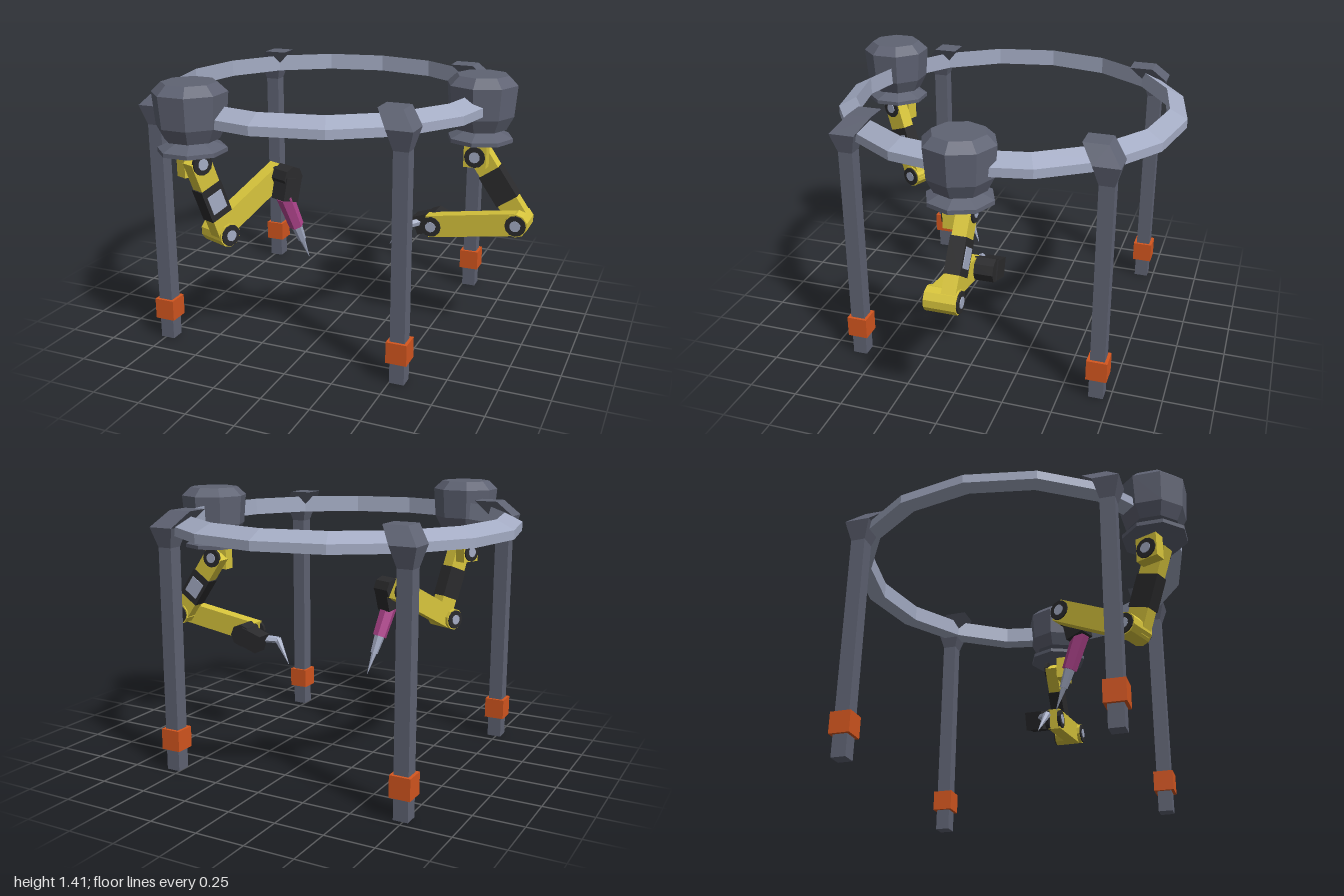
import * as THREE from 'three';

const mat = (name, color) => Object.assign(new THREE.MeshStandardMaterial({ color }), { name });
const steel = mat('darkSteel', 0x5f6373);
const pale = mat('paleSteel', 0xa4acc4);
const yellow = mat('yellowPaint', 0xd8c53c);
const black = mat('blackRubber', 0x2b2b2d);
const orange = mat('orangeBand', 0xd4561f);
const pink = mat('pinkGrip', 0xb2458f);

const V = (a) => new THREE.Vector3(...a);
const CX = -0.1, CZ = -0.042;

// faceted mesh
function add(parent, name, geo, material) {
  const flat = geo.index ? geo.toNonIndexed() : geo;
  flat.computeVertexNormals();
  const mesh = new THREE.Mesh(flat, material);
  mesh.name = name;
  parent.add(mesh);
  return mesh;
}

// tapered round bar from p0 to p1
function rod(parent, name, p0, p1, r0, r1, sides, material) {
  const a = V(p0), b = V(p1), d = b.clone().sub(a);
  const mesh = add(parent, name, new THREE.CylinderGeometry(r1, r0, d.length(), sides), material);
  mesh.position.copy(a).add(b).multiplyScalar(0.5);
  mesh.quaternion.setFromUnitVectors(new THREE.Vector3(0, 1, 0), d.normalize());
}

// rectangular bar in the arm's plane, running between fractions t0 and t1 of p0-p1
function bar(parent, name, p0, p1, t0, t1, width, z0, z1, material) {
  const dx = p1[0] - p0[0], dy = p1[1] - p0[1], t = (t0 + t1) / 2;
  const geo = new THREE.BoxGeometry(Math.hypot(dx, dy) * (t1 - t0), width, z1 - z0);
  const mesh = add(parent, name, geo, material);
  mesh.position.set(p0[0] + dx * t, p0[1] + dy * t, (z0 + z1) / 2);
  mesh.rotation.z = Math.atan2(dy, dx);
}

// joint cover: black disc with a pale hub, on the side given by dir
function jointDisc(parent, name, [x, y], z, dir) {
  rod(parent, name, [x, y, z - dir * 0.01], [x, y, z + dir * 0.008], 0.053, 0.053, 12, black);
  rod(parent, name + 'Hub', [x, y, z], [x, y, z + dir * 0.012], 0.028, 0.028, 10, pale);
}

// square cross-sections [y, centreX, centreZ, half] joined upwards
function squareLoft(sections) {
  const pos = [], idx = [];
  for (const [y, x, z, h] of sections)
    for (const [sx, sz] of [[1, 1], [1, -1], [-1, -1], [-1, 1]]) pos.push(x + sx * h, y, z + sz * h);
  for (let i = 0; i < sections.length - 1; i++)
    for (let k = 0; k < 4; k++) {
      const a = i * 4 + k, b = i * 4 + (k + 1) % 4;
      idx.push(a, b, b + 4, a, b + 4, a + 4);
    }
  const t = (sections.length - 1) * 4;
  idx.push(t, t + 1, t + 2, t, t + 2, t + 3, 0, 2, 1, 0, 3, 2);
  const geo = new THREE.BufferGeometry();
  geo.setAttribute('position', new THREE.Float32BufferAttribute(pos, 3));
  geo.setIndex(idx);
  return geo;
}

const lathe = (pts, n) => new THREE.LatheGeometry(pts.map((p) => new THREE.Vector2(...p)), n);

// hanging arm: local +x points to the middle of the ring
function makeArm(name, x, z, angle, shoulder, elbow, wrist, wristEnd, lift) {
  const g = new THREE.Group();
  g.name = name;
  g.position.set(x, 0, z);
  g.rotation.y = angle;

  // turret and flange
  const head = add(g, 'turret', lathe([[0, 1.06], [0.165, 1.06], [0.165, 1.08], [0.08, 1.118],
    [0.13, 1.122], [0.165, 1.19], [0.178, 1.345], [0.13, 1.39], [0, 1.39]], 8), steel);
  head.position.y = lift;

  // shoulder
  const top = 1.07 + lift, low = shoulder[1] - 0.055;
  const block = add(g, 'shoulder', new THREE.BoxGeometry(0.115, top - low, 0.062), yellow);
  block.position.set(shoulder[0], (top + low) / 2, -0.038);
  jointDisc(g, 'shoulderDisc', shoulder, -0.069, -1);

  // upper arm with a black sleeve and pale panel
  bar(g, 'upperArm', shoulder, elbow, -0.11, 1.05, 0.11, -0.008, 0.062, yellow);
  bar(g, 'upperArmSleeve', shoulder, elbow, 0.27, 0.71, 0.122, -0.012, 0.066, black);
  bar(g, 'sleevePanel', shoulder, elbow, 0.37, 0.62, 0.085, 0.066, 0.07, pale);
  const upperPivot = [0, 1].map((i) => shoulder[i] - 0.05 * (elbow[i] - shoulder[i]));
  jointDisc(g, 'upperArmDisc', upperPivot, 0.062, 1);

  // elbow
  rod(g, 'elbow', [...elbow, -0.086], [...elbow, 0.07], 0.06, 0.06, 10, yellow);
  jointDisc(g, 'elbowDiscOuter', elbow, -0.086, -1);
  jointDisc(g, 'elbowDiscInner', elbow, 0.07, 1);

  // forearm
  bar(g, 'forearm', elbow, wrist, 0, 1.05, 0.115, -0.07, 0, yellow);

  // wrist
  jointDisc(g, 'wristDisc', wrist, -0.07, -1);
  rod(g, 'wrist', [...wrist, -0.01], [...wrist, 0.098], 0.062, 0.062, 8, black);
  bar(g, 'wristBlock', wrist, wristEnd, 0, 1, 0.1, 0.012, 0.106, black);
  return g;
}

export function createModel() {
  const model = new THREE.Group();
  model.name = 'surgicalFrame';

  // ring rail
  const rail = add(model, 'ringRail', lathe([[0.895, 1.21], [0.895, 1.255], [0.805, 1.3],
    [0.805, 1.21], [0.895, 1.21]], 16), pale);
  rail.position.set(CX, 0, CZ);

  // four posts with leaning capitals and orange bands
  for (const sx of [-1, 1])
    for (const sz of [-1, 1]) {
      const x = CX + sx * 0.638, z = CZ + sz * 0.638;
      add(model, 'post', squareLoft([[0, x, z, 0.037], [1.15, x, z, 0.037], [1.25, x, z, 0.065],
        [1.33, x - sx * 0.067, z - sz * 0.067, 0.061]]), steel);
      add(model, 'postBand', new THREE.BoxGeometry(0.105, 0.108, 0.105), orange).position.set(x, 0.165, z);
    }

  // arm with the needle tool
  const needleArm = makeArm('needleArm', -0.446, 0.762, Math.PI * 0.375,
    [0.012, 1.01], [0.148, 0.64], [0.54, 0.85], [0.512, 0.735], 0.022);
  rod(needleArm, 'toolGrip', [0.508, 0.755, 0.065], [0.584, 0.58, 0.065], 0.045, 0.039, 6, pink);
  rod(needleArm, 'toolBarrel', [0.584, 0.58, 0.065], [0.623, 0.49, 0.065], 0.029, 0.021, 6, pale);
  rod(needleArm, 'needle', [0.623, 0.49, 0.065], [0.672, 0.38, 0.065], 0.015, 0.001, 6, pale);
  model.add(needleArm);

  // arm with the hook tool
  const hookArm = makeArm('hookArm', 0.72, -0.043, Math.PI,
    [0.005, 0.985], [-0.22, 0.66], [0.22, 0.59], [0.335, 0.55], 0);
  rod(hookArm, 'hookShank', [0.285, 0.578, 0.055], [0.385, 0.556, -0.035], 0.024, 0.018, 6, pale);
  rod(hookArm, 'hookTip', [0.38, 0.562, -0.033], [0.468, 0.435, -0.005], 0.021, 0.001, 6, pale);
  model.add(hookArm);

  return model;
}
